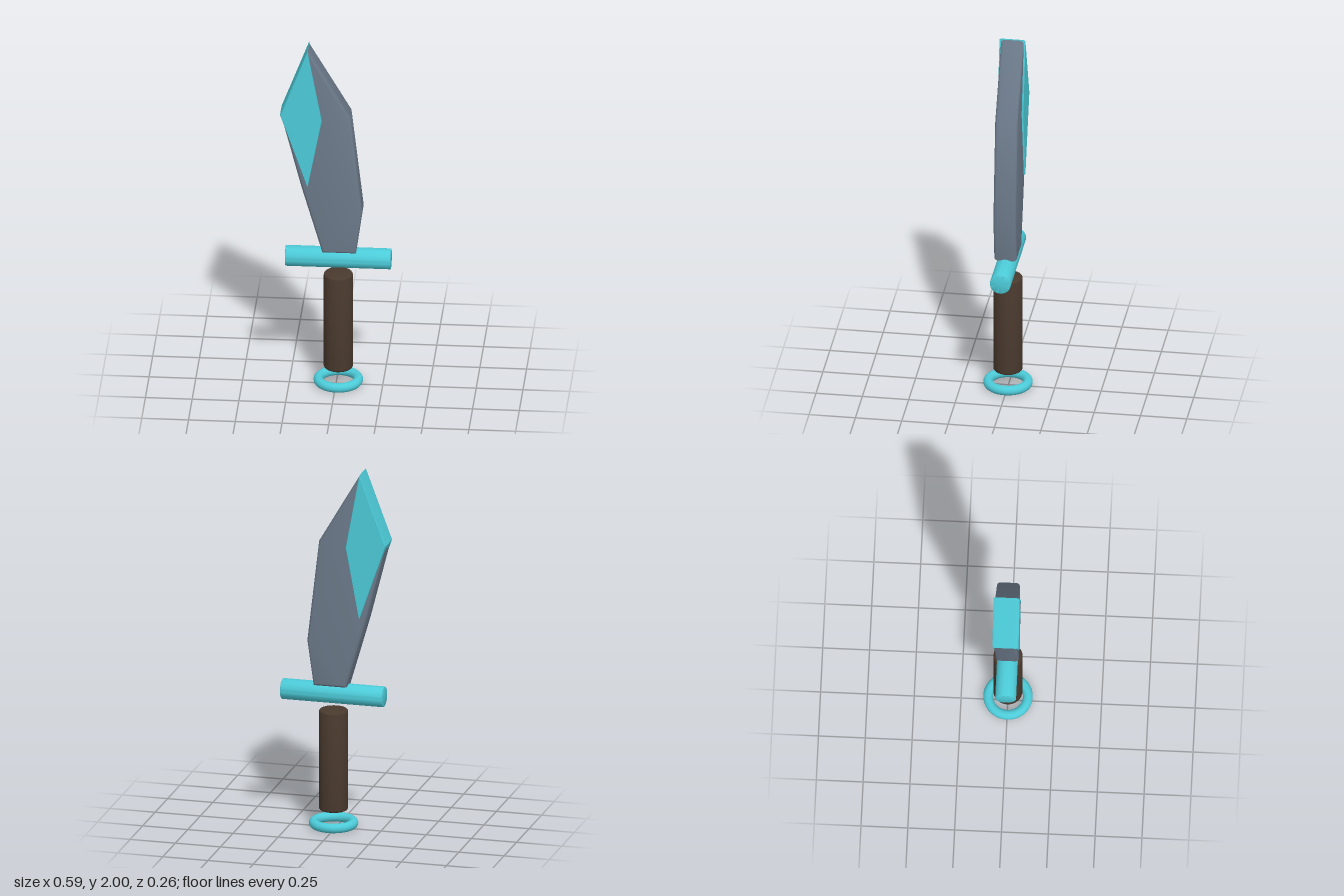
import * as THREE from 'three';
import { toCreasedNormals } from 'three/addons/utils/BufferGeometryUtils.js';

const material = (color) => new THREE.MeshStandardMaterial({ color });

// Extrude an outline about z = 0 with rounded edges that stay inside the outline
function slab(points, depth, bevelThickness, bevelSize) {
  const shape = new THREE.Shape(points.map(([x, y]) => new THREE.Vector2(x, y)));
  const geometry = new THREE.ExtrudeGeometry(shape, {
    depth: depth - 2 * bevelThickness,
    bevelThickness,
    bevelSize,
    bevelOffset: -bevelSize,
    bevelSegments: 4,
  });
  geometry.translate(0, 0, bevelThickness - depth / 2);
  return toCreasedNormals(geometry, 0.6);
}

// Cylinder along y with softly rounded rims
function roundedRod(radius, length, rim) {
  const h = length / 2;
  const profile = [new THREE.Vector2(0, -h)];
  for (const side of [-1, 1]) {
    for (let i = 0; i <= 4; i++) {
      const a = (side < 0 ? i - 4 : i) * Math.PI / 8;
      profile.push(new THREE.Vector2(
        radius - rim + rim * Math.cos(a),
        side * (h - rim) + rim * Math.sin(a)
      ));
    }
  }
  profile.push(new THREE.Vector2(0, h));
  return toCreasedNormals(new THREE.LatheGeometry(profile, 48), 0.6);
}

export function createModel() {
  const group = new THREE.Group();
  const steel = material(0x6c7a8a);
  const teal = material(0x4ccbd8);
  const wood = material(0x4a3a2e);

  const add = (name, geometry, mat, x = 0, y = 0) => {
    const mesh = new THREE.Mesh(geometry, mat);
    mesh.name = name;
    mesh.position.set(x, y, 0);
    group.add(mesh);
    return mesh;
  };

  // Angular blade, its upper left edge just inside the inlay
  add('blade', slab([
    [-0.07, 0.80], [0.11, 0.80], [0.145, 1.05], [0.08, 1.61],
    [-0.146, 1.995], [-0.291, 1.61], [-0.183, 1.19],
  ], 0.122, 0.02, 0.015), steel);

  // Diamond inlay passing through the blade
  add('diamondInlay', slab([
    [-0.147, 1.19], [-0.07, 1.59], [-0.148, 2.0], [-0.295, 1.615],
  ], 0.14, 0.02, 0.005), teal);

  // Crossguard rod
  const guard = add('crossguard', roundedRod(0.056, 0.565, 0.005), teal, 0.0125, 0.752);
  guard.rotation.z = Math.PI / 2;

  // Grip
  add('grip', roundedRod(0.078, 0.56, 0.012), wood, 0.0125, 0.38);

  // Pommel ring, lying flat
  const ring = add('pommelRing', new THREE.TorusGeometry(0.106, 0.026, 20, 64), teal, 0.0125, 0.026);
  ring.rotation.x = Math.PI / 2;

  return group;
}
